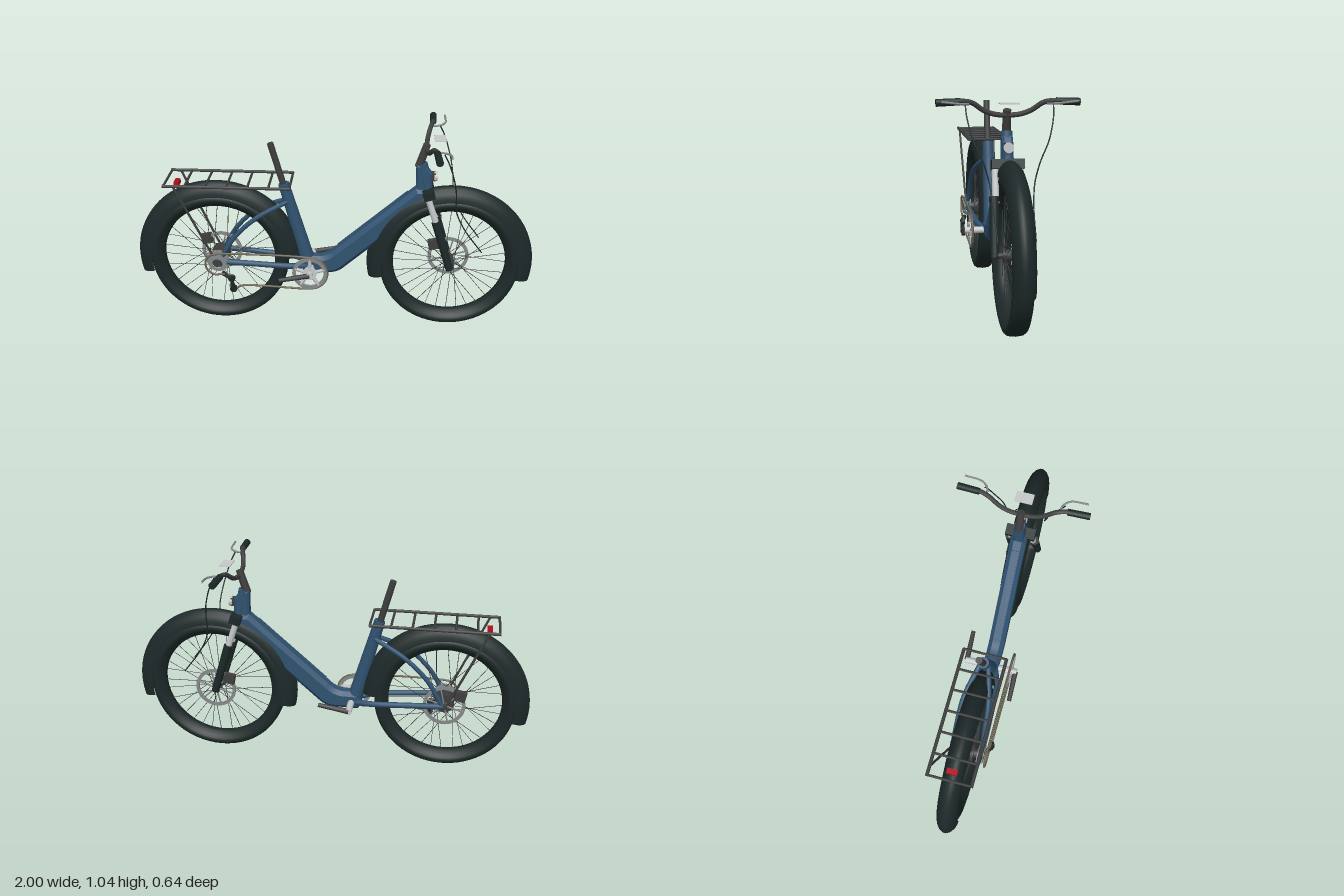
import * as THREE from 'three';

const material = (name, color, side = THREE.FrontSide) => {
  const m = new THREE.MeshStandardMaterial({ color, side });
  m.name = name;
  return m;
};
const V = (p) => new THREE.Vector3(...p);

export function createModel() {
  const blue = material('frame blue', 0x305270);
  const rubber = material('rubber black', 0x1d2828, THREE.DoubleSide);
  const dark = material('dark grey metal', 0x3e3e3e);
  const silver = material('silver', 0xc6c9cb);
  const grey = material('steel grey', 0x85888a);
  const brass = material('chain bronze', 0x6a6350);
  const red = material('tail light red', 0xb00d1e);

  const model = new THREE.Group();
  model.name = 'bicycle';

  const add = (parent, name, geometry, mat) => {
    const mesh = new THREE.Mesh(geometry, mat);
    mesh.name = name;
    parent.add(mesh);
    return mesh;
  };
  // Straight round bar between two points
  const rod = (parent, name, a, b, r0, r1, mat, sides = 16) => {
    const p = V(a), q = V(b), d = q.clone().sub(p);
    const mesh = add(parent, name, new THREE.CylinderGeometry(r1, r0, d.length(), sides), mat);
    mesh.position.copy(p).add(q).multiplyScalar(0.5);
    mesh.quaternion.setFromUnitVectors(new THREE.Vector3(0, 1, 0), d.normalize());
    return mesh;
  };
  const tube = (parent, name, pts, r, mat, closed = false, segs = 40) =>
    add(parent, name, new THREE.TubeGeometry(
      new THREE.CatmullRomCurve3(pts.map(V), closed, 'centripetal'), segs, r, 8, closed), mat);
  const box = (parent, name, size, pos, mat, tilt = 0) => {
    const mesh = add(parent, name, new THREE.BoxGeometry(...size), mat);
    mesh.position.set(...pos);
    mesh.rotation.z = tilt;
    return mesh;
  };
  // Side outline given a thickness with chamfered edges
  const slab = (name, shape, width, chamfer, mat) =>
    add(model, name, new THREE.ExtrudeGeometry(shape, { depth: width - 2 * chamfer, bevelSize: chamfer,
      bevelThickness: chamfer, bevelOffset: -chamfer, bevelSegments: 1 })
      .translate(0, 0, chamfer - width / 2), mat);
  // Flat ring facing z
  const ring = (parent, name, outer, inner, z, depth, mat) => {
    const s = new THREE.Shape().absarc(0, 0, outer, 0, Math.PI * 2);
    s.holes.push(new THREE.Path().absarc(0, 0, inner, 0, Math.PI * 2, true));
    const mesh = add(parent, name,
      new THREE.ExtrudeGeometry(s, { depth, bevelEnabled: false, curveSegments: 32 }), mat);
    mesh.position.z = z - depth / 2;
    return mesh;
  };
  const spider = (parent, name, count, r, z, thick, mat) => {
    for (let i = 0; i < count; i++) {
      const a = i / count * Math.PI * 2 + 0.3;
      rod(parent, name, [0, 0, z], [r * Math.cos(a), r * Math.sin(a), z], thick, thick, mat, 6);
    }
  };
  // Profile of [radius, z] swept about the z axis, angles measured from straight up
  const sweep = (profile, from = 0, length = Math.PI * 2) =>
    new THREE.LatheGeometry(profile.map(([r, z]) => new THREE.Vector2(r, z)), 72, from, length)
      .rotateX(-Math.PI / 2);

  // Wheels with tyre, spokes, brake disc and mudguard
  const axleY = 0.355;
  const tyre = [[0.3, -0.03], [0.313, -0.044], [0.327, -0.048], [0.342, -0.043], [0.351, -0.032], [0.355, 0],
    [0.351, 0.032], [0.342, 0.043], [0.327, 0.048], [0.313, 0.044], [0.3, 0.03]];
  const rim = [[0.302, -0.03], [0.287, -0.02], [0.283, 0], [0.287, 0.02], [0.302, 0.03]];
  const guard = [[0.345, -0.05], [0.365, -0.048], [0.388, -0.04], [0.407, -0.025], [0.417, -0.007],
    [0.417, 0.007], [0.407, 0.025], [0.388, 0.04], [0.365, 0.048], [0.345, 0.05]];
  const makeWheel = (name, x, guardEnd, hubR) => {
    const w = new THREE.Group();
    w.name = name;
    w.position.set(x, axleY, 0);
    model.add(w);
    add(w, 'tyre', sweep(tyre), rubber);
    add(w, 'rim', sweep(rim), rubber);
    const start = THREE.MathUtils.degToRad(-103);
    add(w, 'mudguard', sweep(guard, start, THREE.MathUtils.degToRad(guardEnd) - start), rubber);
    for (let i = 0; i < 32; i++) {
      const a = i / 32 * Math.PI * 2, side = i % 2 ? 1 : -1;
      const h = a + (i % 4 < 2 ? 0.9 : -0.9);
      rod(w, 'spoke', [hubR * Math.cos(h), hubR * Math.sin(h), side * 0.032],
        [0.287 * Math.cos(a), 0.287 * Math.sin(a), side * 0.006], 0.0015, 0.0015, dark, 4);
    }
    rod(w, 'hub', [0, 0, -0.04], [0, 0, 0.04], hubR, hubR, dark, 24);
    rod(w, 'axle', [0, 0, -0.085], [0, 0, 0.085], 0.012, 0.012, dark);
    ring(w, 'brakeDisc', 0.105, 0.088, -0.056, 0.007, grey);
    spider(w, 'discArm', 6, 0.092, -0.056, 0.004, grey);
    box(w, 'brakeCaliper', [0.055, 0.05, 0.03], [-0.077, 0.062, -0.062], dark, 0.2);
    return w;
  };
  const rear = makeWheel('rearWheel', -0.587, 88, 0.048);
  makeWheel('frontWheel', 0.583, 103, 0.026);

  // Sprocket stack on the rear hub, smallest outermost
  [0.06, 0.056, 0.051, 0.046, 0.04].forEach((r, i) =>
    ring(rear, 'sprocket', r, r - 0.014, 0.062 + i * 0.009, 0.004, grey));
  rod(rear, 'sprocketCore', [0, 0, 0.04], [0, 0, 0.1], 0.026, 0.02, dark);

  // Frame: deep down tube that bends into the bottom bracket
  const f = new THREE.Shape();
  f.moveTo(0.4, 0.762);
  f.lineTo(0.0, 0.408);
  f.quadraticCurveTo(-0.03, 0.378, -0.07, 0.372);
  f.lineTo(-0.155, 0.372);
  f.quadraticCurveTo(-0.185, 0.32, -0.15, 0.28);
  f.lineTo(-0.02, 0.28);
  f.quadraticCurveTo(0.02, 0.284, 0.05, 0.312);
  f.lineTo(0.472, 0.69);
  f.lineTo(0.462, 0.762);
  f.closePath();
  slab('downTube', f, 0.08, 0.02, blue);
  box(model, 'batteryCover', [0.46, 0.008, 0.036], [0.19, 0.577, 0], blue, 0.726);
  // Head lug around the steering tube
  const lug = new THREE.Shape([[0.397, 0.885], [0.44, 0.885], [0.474, 0.84], [0.478, 0.75], [0.462, 0.7],
    [0.4, 0.755]].map(([x, y]) => new THREE.Vector2(x, y)).reverse());
  slab('headLug', lug, 0.05, 0.01, blue);
  rod(model, 'headTube', [0.462, 0.72, 0], [0.425, 0.887, 0], 0.03, 0.026, blue, 24);
  rod(model, 'seatTube', [-0.135, 0.34, 0], [-0.25, 0.765, 0], 0.037, 0.027, blue, 24);
  rod(model, 'seatPost', [-0.25, 0.755, 0], [-0.31, 0.975, 0], 0.016, 0.016, dark);

  // Handlebar, stem, display and head lamp
  rod(model, 'stem', [0.41, 0.87, 0], [0.444, 0.985, 0], 0.021, 0.018, dark);
  tube(model, 'handlebar', [[0.485, 1.02, -0.315], [0.48, 1.026, -0.21], [0.467, 1.018, -0.16],
    [0.452, 0.982, -0.105], [0.446, 0.964, -0.05], [0.446, 0.964, 0.05], [0.452, 0.982, 0.105],
    [0.467, 1.018, 0.16], [0.48, 1.026, 0.21], [0.485, 1.02, 0.315]], 0.0115, dark, false, 60);
  box(model, 'display', [0.055, 0.004, 0.086], [0.505, 1.016, 0], silver);
  box(model, 'lampBody', [0.045, 0.04, 0.035], [0.47, 0.82, 0], dark);
  rod(model, 'headLamp', [0.485, 0.82, 0], [0.502, 0.82, 0], 0.023, 0.023, silver, 24);

  // Fork crown
  box(model, 'forkCrown', [0.055, 0.042, 0.148], [0.462, 0.742, 0], rubber, 0.3);

  // Rear rack
  const rackY = 0.78;
  for (let i = 0; i < 7; i++) {
    const x = -0.825 + i * 0.1022;
    rod(model, 'rackCrossbar', [x, rackY, -0.103], [x, rackY, 0.103], 0.006, 0.006, dark, 8);
  }
  box(model, 'tailLight', [0.025, 0.022, 0.05], [-0.78, 0.757, 0], red);

  // Everything mirrored left and right
  for (const s of [-1, 1]) {
    rod(model, 'grip', [0.48, 1.024, s * 0.212], [0.486, 1.02, s * 0.32], 0.016, 0.017, rubber);
    tube(model, 'brakeLever', [[0.475, 1.012, s * 0.175], [0.515, 1.015, s * 0.185], [0.54, 1.018, s * 0.215],
      [0.543, 1.027, s * 0.3]], 0.005, grey);
    tube(model, 'brakeCable', [[0.515, 1.01, s * 0.194], [0.54, 0.96, s * 0.19], [0.572, 0.86, s * 0.165],
      [0.588, 0.77, s * 0.125], [0.595, 0.68, s * 0.1], [0.64, 0.58, s * 0.088], [0.735, 0.45, s * 0.082]],
      0.003, rubber);
    rod(model, 'forkStanchion', [0.511, 0.575, s * 0.06], [0.458, 0.73, s * 0.057], 0.0155, 0.0155, silver);
    rod(model, 'forkLeg', [0.583, 0.345, s * 0.074], [0.502, 0.605, s * 0.067], 0.019, 0.022, rubber);
    rod(model, 'rackRail', [-0.83, rackY, s * 0.103], [-0.21, rackY, s * 0.103], 0.008, 0.008, dark, 8);
    rod(model, 'rackStrut', [-0.78, rackY, s * 0.1], [-0.6, 0.37, s * 0.082], 0.006, 0.006, dark, 8);
    tube(model, 'seatStay', [[-0.58, 0.355, s * 0.075], [-0.5, 0.49, s * 0.07], [-0.39, 0.595, s * 0.062],
      [-0.23, 0.675, s * 0.02]], 0.012, blue);
    tube(model, 'chainStay', [[-0.58, 0.358, s * 0.075], [-0.4, 0.345, s * 0.068], [-0.22, 0.33, s * 0.056],
      [-0.14, 0.32, s * 0.03]], 0.015, blue);
    // Cranks point opposite ways
    rod(model, 'crankArm', [-0.118, 0.318, s * 0.13],
      [-0.118 - s * 0.152, 0.318 - s * 0.028, s * 0.136], 0.014, 0.011, dark, 8);
  }

  // Chainring and crank axle
  const drive = new THREE.Group();
  drive.name = 'chainring';
  drive.position.set(-0.118, 0.318, 0);
  model.add(drive);
  rod(drive, 'crankAxle', [0, 0, -0.137], [0, 0, 0.137], 0.017, 0.017, silver);
  ring(drive, 'outerRing', 0.088, 0.07, 0.105, 0.012, grey);
  ring(drive, 'hubRing', 0.035, 0.014, 0.105, 0.014, silver);
  spider(drive, 'ringArm', 5, 0.078, 0.105, 0.009, silver);

  // Chain wraps the sprocket, derailleur wheels and chainring
  const chain = [];
  const arc = (cx, cy, r, a0, a1) => {
    for (let i = 0; i <= 6; i++) {
      const a = THREE.MathUtils.degToRad(a0 + (a1 - a0) * i / 6);
      chain.push([cx + r * Math.cos(a), cy + r * Math.sin(a), 0.105]);
    }
  };
  arc(-0.118, 0.318, 0.089, -95, 90);
  arc(-0.587, axleY, 0.059, 90, 290);
  chain.push([-0.505, 0.29, 0.105], [-0.525, 0.23, 0.105], [-0.5, 0.215, 0.105], [-0.47, 0.235, 0.105]);
  tube(model, 'chain', chain, 0.0055, brass, true, 200);

  // Derailleur
  rod(model, 'derailleurArm', [-0.565, 0.3, 0.094], [-0.515, 0.285, 0.114], 0.012, 0.012, rubber, 8);
  rod(model, 'derailleurCage', [-0.515, 0.285, 0.114], [-0.508, 0.22, 0.114], 0.009, 0.009, rubber, 8);
  for (const [x, y] of [[-0.515, 0.28], [-0.508, 0.22]])
    rod(model, 'derailleurWheel', [x, y, 0.1], [x, y, 0.118], 0.018, 0.018, rubber);

  return model;
}
